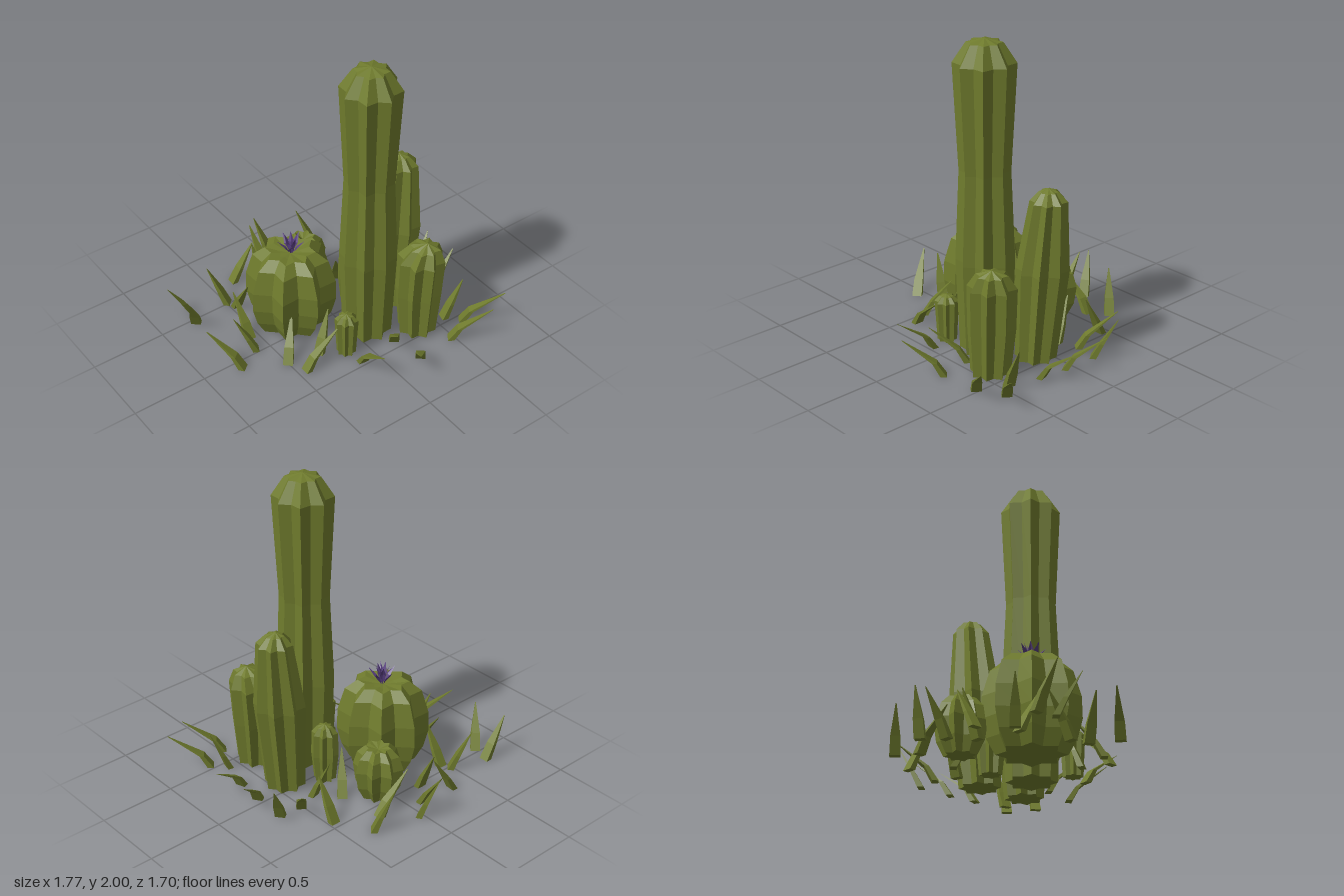
import * as THREE from 'three';

// Skin a stack of equal-length closed rings of [x, y, z] points
function loft(rings) {
  const n = rings[0].length;
  const index = [];
  for (let r = 0; r < rings.length - 1; r++) {
    for (let i = 0; i < n; i++) {
      const j = (i + 1) % n;
      const a = r * n + i, b = r * n + j, c = a + n, d = b + n;
      index.push(a, c, d, a, d, b);
    }
  }
  const geometry = new THREE.BufferGeometry();
  geometry.setAttribute('position', new THREE.Float32BufferAttribute(rings.flat(2), 3));
  geometry.setIndex(index);
  geometry.computeVertexNormals();
  return geometry;
}

// Ribbed body: profile rows are [y, radius, x offset, z offset]
function cactusGeometry(profile, ribs, phase, valley) {
  const first = profile[0];
  const rows = [[first[0], 0, first[2], first[3]], ...profile];
  return loft(rows.map(([y, r, ox = 0, oz = 0]) => {
    const ring = [];
    for (let i = 0; i < ribs * 2; i++) {
      const a = phase + (i * Math.PI) / ribs;
      const rad = i % 2 ? r * valley : r;
      ring.push([ox + Math.cos(a) * rad, y, oz + Math.sin(a) * rad]);
    }
    return ring;
  }));
}

// Bent, tapering blade leaning along +x
function bladeGeometry(reach, height) {
  const rows = [
    [0, 0, 0, 0],
    [0, 0, 0.02, 0.032],
    [Math.min(0.055, reach * 0.35), height * 0.38, 0.014, 0.029],
    [reach, height, 0.001, 0.003],
    [reach, height, 0, 0],
  ];
  return loft(rows.map(([x, y, t, w]) => [
    [x + t, y, w], [x - t, y, w], [x - t, y, -w], [x + t, y, -w],
  ]));
}

// Petal: a bent kite leaning along +x
function petalGeometry(reach, height) {
  const geometry = new THREE.BufferGeometry();
  geometry.setAttribute('position', new THREE.Float32BufferAttribute([
    0.01, 0, 0,
    reach * 0.5, height * 0.5, 0.02,
    reach * 0.4, height * 0.55, 0,
    reach * 0.5, height * 0.5, -0.02,
    reach, height, 0,
  ], 3));
  geometry.setIndex([0, 2, 1, 0, 3, 2, 1, 2, 4, 2, 3, 4]);
  geometry.computeVertexNormals();
  return geometry;
}

export function createModel() {
  const model = new THREE.Group();
  model.name = 'cactusCluster';
  const green = new THREE.MeshStandardMaterial({ color: 0x6f7b2d, flatShading: true });
  green.name = 'cactusGreen';
  const purple = new THREE.MeshStandardMaterial({ color: 0x583f80, flatShading: true, side: THREE.DoubleSide });
  purple.name = 'flowerPurple';

  // Cactus bodies
  const cacti = [
    { name: 'tallCactus', x: 0.11, z: 0.22, ribs: 8, phase: 0, valley: 0.78,
      profile: [[0, 0.16], [0.6, 0.183], [1.18, 0.158], [1.85, 0.192], [1.975, 0.11], [2, 0]] },
    { name: 'leaningCactus', x: 0, z: 0, ribs: 8, phase: 0.1, valley: 0.76,
      profile: [[0, 0.13, 0.41, 0.075], [0.6, 0.165, 0.452, 0.065], [1.05, 0.115, 0.488, 0.055],
        [1.11, 0.06, 0.485, 0.052], [1.13, 0, 0.48, 0.05]] },
    { name: 'frontCactus', x: 0, z: 0, ribs: 8, phase: 0.15, valley: 0.74,
      profile: [[0, 0.125, 0.37, 0.415], [0.3, 0.15, 0.375, 0.41], [0.57, 0.155, 0.385, 0.415],
        [0.66, 0.1, 0.4, 0.43], [0.695, 0, 0.41, 0.44]] },
    { name: 'barrelCactus', x: -0.24, z: -0.13, ribs: 8, phase: 0, valley: 0.75,
      profile: [[0, 0.21], [0.1, 0.265], [0.22, 0.295], [0.36, 0.292], [0.52, 0.245],
        [0.585, 0.165], [0.57, 0.08], [0.56, 0]] },
    { name: 'backCactus', x: 0.06, z: -0.41, ribs: 8, phase: 0.2, valley: 0.72,
      profile: [[0, 0.1], [0.09, 0.145], [0.21, 0.162], [0.3, 0.135], [0.352, 0.085], [0.335, 0]] },
    { name: 'middleCactus', x: 0.185, z: -0.05, ribs: 8, phase: 0.1, valley: 0.72,
      profile: [[0, 0.07], [0.18, 0.088], [0.34, 0.085], [0.385, 0.05], [0.4, 0]] },
    { name: 'smallCactus', x: -0.135, z: 0.325, ribs: 8, phase: 0, valley: 0.74,
      profile: [[0, 0.062], [0.15, 0.07], [0.265, 0.077], [0.3, 0.045], [0.312, 0]] },
  ];
  for (const c of cacti) {
    const mesh = new THREE.Mesh(cactusGeometry(c.profile, c.ribs, c.phase, c.valley), green);
    mesh.name = c.name;
    mesh.position.set(c.x, 0, c.z);
    model.add(mesh);
  }

  // Flower on the barrel cactus
  const flower = new THREE.Group();
  flower.name = 'flower';
  flower.position.set(-0.235, 0.565, -0.125);
  [[0.09, 0.11], [0.045, 0.135]].forEach(([reach, height], ring) => {
    for (let i = 0; i < 5; i++) {
      const petal = new THREE.Mesh(petalGeometry(reach, height), purple);
      petal.name = 'petal';
      petal.rotation.y = 0.35 + ((i + ring * 0.5) * Math.PI * 2) / 5;
      flower.add(petal);
    }
  });
  model.add(flower);

  // Grass blades: base x, base z, tip x, tip z
  const blades = [
    [-0.34, -0.67, -0.18, -0.66], [-0.09, -0.65, -0.095, -0.82], [0.02, -0.75, -0.04, -0.85],
    [0.33, -0.67, 0.24, -0.75], [-0.73, -0.59, -0.89, -0.59], [-0.49, -0.51, -0.58, -0.6],
    [-0.2, -0.52, -0.2, -0.64], [0.21, -0.59, -0.02, -0.59], [-0.76, -0.47, -0.86, -0.36],
    [-0.46, -0.45, -0.46, -0.3], [0.46, -0.45, 0.46, -0.31], [0.25, -0.29, 0.15, -0.17],
    [0.37, -0.15, 0.34, -0.27], [0.51, -0.2, 0.66, -0.39], [0.66, -0.18, 0.78, -0.27],
    [-0.56, -0.14, -0.56, -0.32], [-0.59, -0.03, -0.71, -0.09], [-0.75, 0.06, -0.89, -0.12],
    [-0.5, 0.2, -0.37, 0.06], [-0.285, 0.24, -0.18, 0.19], [-0.44, 0.32, -0.19, 0.325],
    [0.65, 0.05, 0.86, -0.08], [0.63, 0.24, 0.88, 0.16], [-0.11, 0.46, -0.14, 0.72],
    [0.17, 0.43, 0.04, 0.62], [0.21, 0.65, 0.05, 0.84], [0.57, 0.45, 0.69, 0.48],
    [0.65, 0.54, 0.86, 0.705], [0.48, 0.63, 0.69, 0.78],
  ];
  for (const [bx, bz, tx, tz] of blades) {
    const reach = Math.hypot(tx - bx, tz - bz);
    const blade = new THREE.Mesh(bladeGeometry(reach, 0.32 - 0.33 * reach), green);
    blade.name = 'grassBlade';
    blade.position.set(bx, 0, bz);
    blade.rotation.y = -Math.atan2(tz - bz, tx - bx);
    model.add(blade);
  }
  return model;
}
